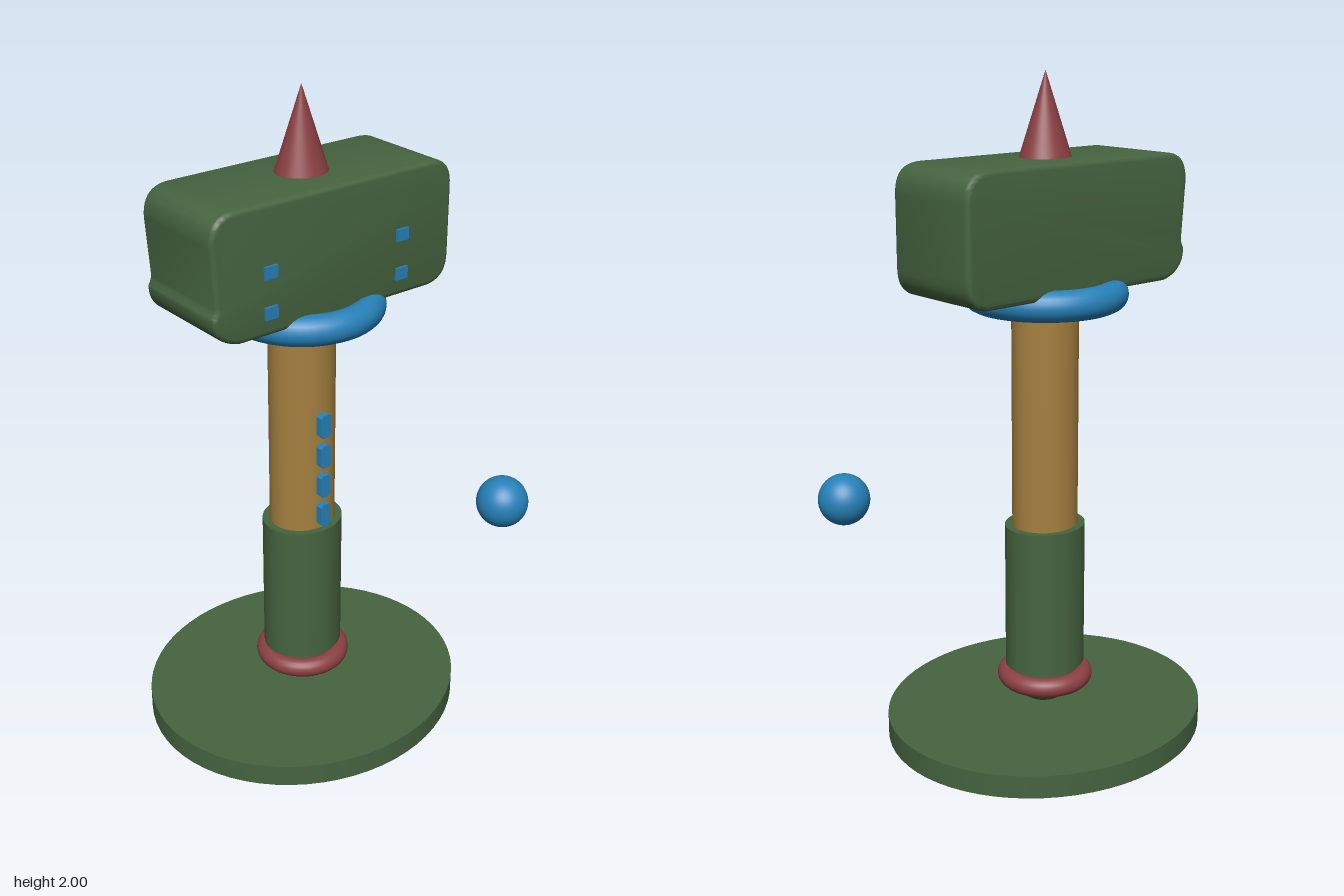
import * as THREE from 'three';
import { toCreasedNormals } from 'three/addons/utils/BufferGeometryUtils.js';

const material = (name, color) => {
  const m = new THREE.MeshStandardMaterial({ color });
  m.name = name;
  return m;
};

export function createModel() {
  const green = material('dark green', 0x466440);
  const wood = material('ochre wood', 0xa5803f);
  const blue = material('blue', 0x2681b9);
  const red = material('dull red', 0x8c4043);

  const model = new THREE.Group();
  model.name = 'hammer';
  const CX = -0.016, CZ = -0.013; // shared vertical axis
  const FLAT = 0.912; // upright round parts are slightly squashed in depth

  const add = (name, geometry, mat, x, y, z, depth = 1) => {
    const mesh = new THREE.Mesh(geometry, mat);
    mesh.name = name;
    mesh.position.set(x, y, z);
    mesh.scale.z = depth;
    model.add(mesh);
    return mesh;
  };
  const column = (name, r, y0, y1, mat) =>
    add(name, new THREE.CylinderGeometry(r, r, y1 - y0, 64), mat, CX, (y0 + y1) / 2, CZ, FLAT);
  const ring = (name, outer, tube, y, mat) =>
    add(name, new THREE.TorusGeometry(outer - tube, tube, 20, 64).rotateX(Math.PI / 2), mat, CX, y, CZ);

  // Base, ball foot, sleeve and shaft
  column('base', 0.505, 0, 0.07, green);
  add('ballFoot', new THREE.SphereGeometry(0.113, 40, 24), green, CX, 0.188, CZ, FLAT);
  column('gripSleeve', 0.126, 0.205, 0.66, green);
  column('shaft', 0.103, 0.6, 1.4, wood);

  // Collars
  ring('lowerCollar', 0.147, 0.03, 0.164, red);
  ring('upperCollar', 0.243, 0.045, 1.368, blue);

  // Hammer head: rounded outline with a small notch low on one end
  const L = -0.432, R = 0.4, B = 1.385, T = 1.76, r = 0.085;
  const outline = new THREE.Shape();
  outline.moveTo(L + r, B);
  outline.lineTo(R - r, B);
  outline.quadraticCurveTo(R, B, R, B + r);
  outline.lineTo(R, T - r);
  outline.quadraticCurveTo(R, T, R - r, T);
  outline.lineTo(L + r, T);
  outline.quadraticCurveTo(L, T, L, T - r);
  outline.lineTo(L + 0.013, B + 0.12);
  outline.quadraticCurveTo(L + 0.012, B + 0.105, L + 0.003, B + 0.092);
  outline.quadraticCurveTo(L - 0.002, B + 0.02, L + r, B);
  const bevel = 0.014, backZ = -0.176, frontZ = 0.148;
  const head = new THREE.ExtrudeGeometry(outline, {
    depth: frontZ - backZ - 2 * bevel, curveSegments: 12,
    bevelEnabled: true, bevelThickness: bevel, bevelSize: bevel, bevelOffset: -bevel, bevelSegments: 3,
  });
  add('hammerHead', toCreasedNormals(head, 0.6), green, 0, 0, backZ + bevel);

  // Studs on the front of the head
  for (const x of [-0.246, 0.214])
    for (const y of [1.57, 1.454])
      add('headStud', new THREE.BoxGeometry(0.042, 0.036, 0.009), blue, x, y, frontZ + 0.0035);

  // Spike on top
  add('spike', new THREE.ConeGeometry(0.08, 0.245, 48), red, CX, 1.8775, CZ, FLAT);

  // Column of chamfered inlays on the shaft
  const w = 0.018, h = 0.037, c = 0.008;
  const inlay = new THREE.Shape([
    [-w + c, -h], [w - c, -h], [w, -h + c], [w, h - c],
    [w - c, h], [-w + c, h], [-w, h - c], [-w, -h + c],
  ].map(([x, y]) => new THREE.Vector2(x, y)));
  const inlayGeometry = new THREE.ExtrudeGeometry(inlay, { depth: 0.045, bevelEnabled: false });
  for (let i = 0; i < 4; i++)
    add('shaftInlay', inlayGeometry, blue, CX, 0.712 + i * 0.1005, 0.058);

  // Floating orb
  add('orb', new THREE.SphereGeometry(0.079, 40, 24), blue, 0.437, 0.731, 0.394);

  return model;
}
